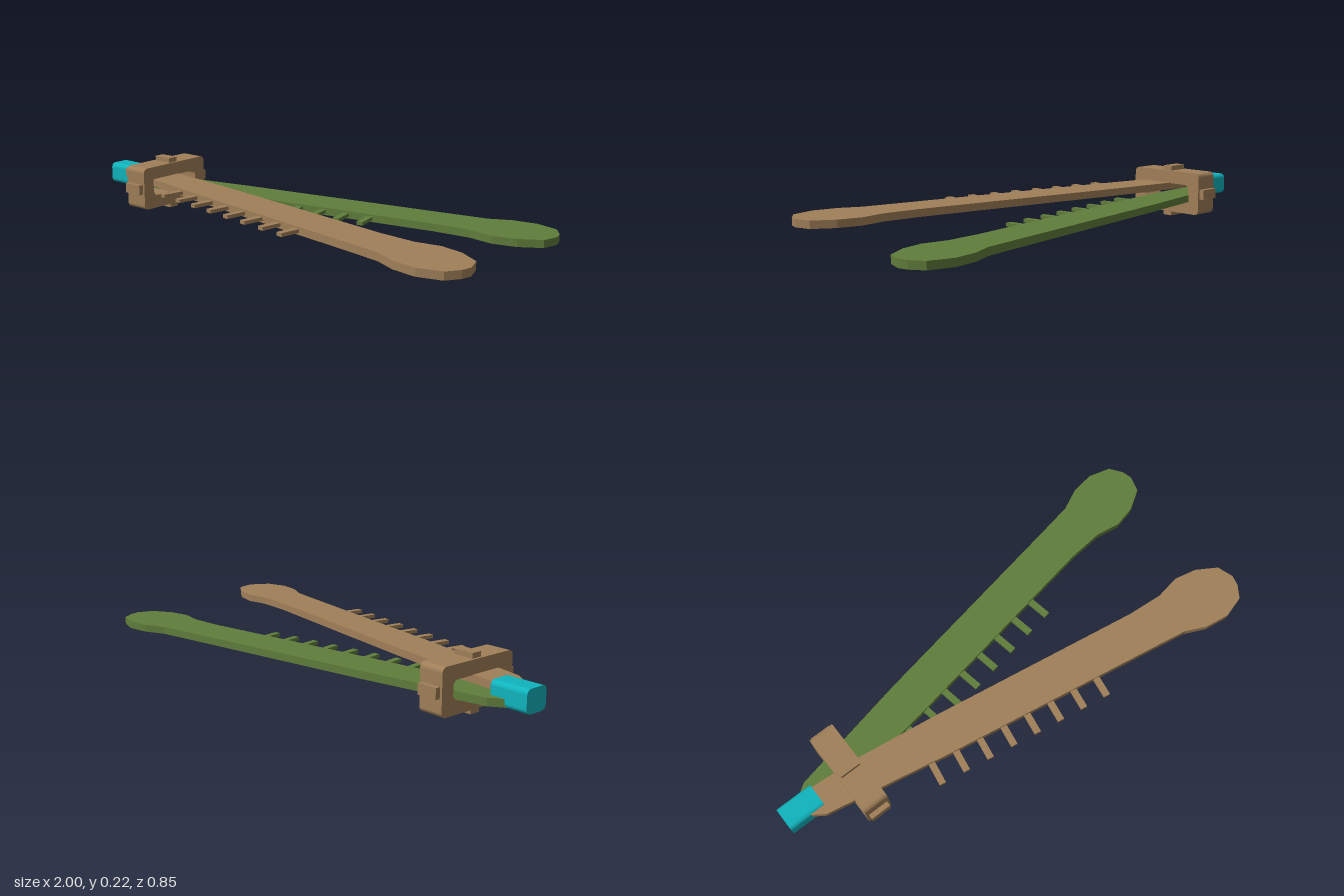
import * as THREE from 'three';

const material = (name, color) => {
  const m = new THREE.MeshStandardMaterial({ color });
  m.name = name;
  return m;
};

function addMesh(parent, name, geometry, mat, x = 0, y = 0, z = 0) {
  const mesh = new THREE.Mesh(geometry, mat);
  mesh.name = name;
  mesh.position.set(x, y, z);
  parent.add(mesh);
  return mesh;
}

// Rounded rectangle centred on the origin, drawn on a Shape or Path
function roundedRect(path, w, h, r) {
  const x = w / 2, y = h / 2;
  path.moveTo(-x + r, -y);
  path.lineTo(x - r, -y);
  path.absarc(x - r, -y + r, r, -Math.PI / 2, 0);
  path.lineTo(x, y - r);
  path.absarc(x - r, y - r, r, 0, Math.PI / 2);
  path.lineTo(-x + r, y);
  path.absarc(-x + r, y - r, r, Math.PI / 2, Math.PI);
  path.lineTo(-x, -y + r);
  path.absarc(-x + r, -y + r, r, Math.PI, Math.PI * 1.5);
  return path;
}

// Extrude a profile along x, centred
function extrudeAlongX(shape, length) {
  return new THREE.ExtrudeGeometry(shape, { depth: length, bevelEnabled: false, curveSegments: 5 })
    .translate(0, 0, -length / 2).rotateY(Math.PI / 2);
}

// Blade outline as x, z: tapered tail, widening body, paddle head
const OUTLINE = [
  [-0.93, 0.035], [-0.86, 0.083], [-0.36, 0.184], [0.55, 0.345], [0.685, 0.37], [0.77, 0.41],
  [0.865, 0.425], [0.955, 0.4], [0.99, 0.35], [1, 0.31], [0.98, 0.245], [0.9, 0.195],
  [0.81, 0.174], [0.71, 0.19], [0.565, 0.177], [-0.315, 0.028], [-0.65, -0.022],
  [-0.85, -0.037], [-0.92, -0.008],
];

// One flat blade with eight comb teeth; side +1 swings to +z, -1 to -z
function blade(name, mat, side, y, toothTipX, toothTipZ) {
  const group = new THREE.Group();
  group.name = name;
  const shape = new THREE.Shape(OUTLINE.map(([x, z]) => new THREE.Vector2(x, -z * side)));
  const body = new THREE.ExtrudeGeometry(shape, { depth: 0.03, bevelEnabled: false }).rotateX(-Math.PI / 2);
  addMesh(group, name + 'Body', body, mat, 0, y - 0.015, 0);

  const angle = -side * Math.atan(0.17);
  const toothLength = 0.13;
  const toothGeometry = new THREE.BoxGeometry(0.026, 0.014, toothLength).translate(0, 0, -toothLength / 2);
  for (let i = 0; i < 8; i++) {
    const tooth = addMesh(group, name + 'Tooth', toothGeometry, mat,
      toothTipX + i * 0.1025, y, toothTipZ + side * i * 0.0172);
    tooth.rotation.y = angle;
  }
  return group;
}

export function createModel() {
  const tan = material('tan', 0xa07f59);
  const green = material('green', 0x607d3b);
  const cyan = material('cyan', 0x10b4bd);
  const model = new THREE.Group();
  model.name = 'combTongs';

  // Crossed blades, one above the other
  model.add(blade('upperBlade', tan, 1, 0.132, -0.449, 0.259));
  model.add(blade('lowerBlade', green, -1, 0.088, -0.402, 0.076));

  // Hinge cap over the tails
  const cap = roundedRect(new THREE.Shape(), 0.1, 0.088, 0.02);
  addMesh(model, 'hingeCap', extrudeAlongX(cap, 0.153), cyan, -0.9235, 0.112, 0);

  // Sliding collar with a rounded window
  const collar = new THREE.Group();
  collar.name = 'collar';
  collar.position.set(-0.697, 0.11, 0);
  const frame = roundedRect(new THREE.Shape(), 0.36, 0.18, 0.02);
  frame.holes.push(roundedRect(new THREE.Path(), 0.25, 0.07, 0.02));
  addMesh(collar, 'collarFrame', extrudeAlongX(frame, 0.104), tan);

  // Grip tabs on the four outer sides of the collar
  for (const s of [-1, 1]) {
    addMesh(collar, 'gripTab', new THREE.BoxGeometry(0.084, 0.022, 0.044), tan, 0, s * 0.099, 0);
    addMesh(collar, 'sideTab', new THREE.BoxGeometry(0.084, 0.042, 0.022), tan, 0, 0, s * 0.189);
  }
  model.add(collar);
  return model;
}
